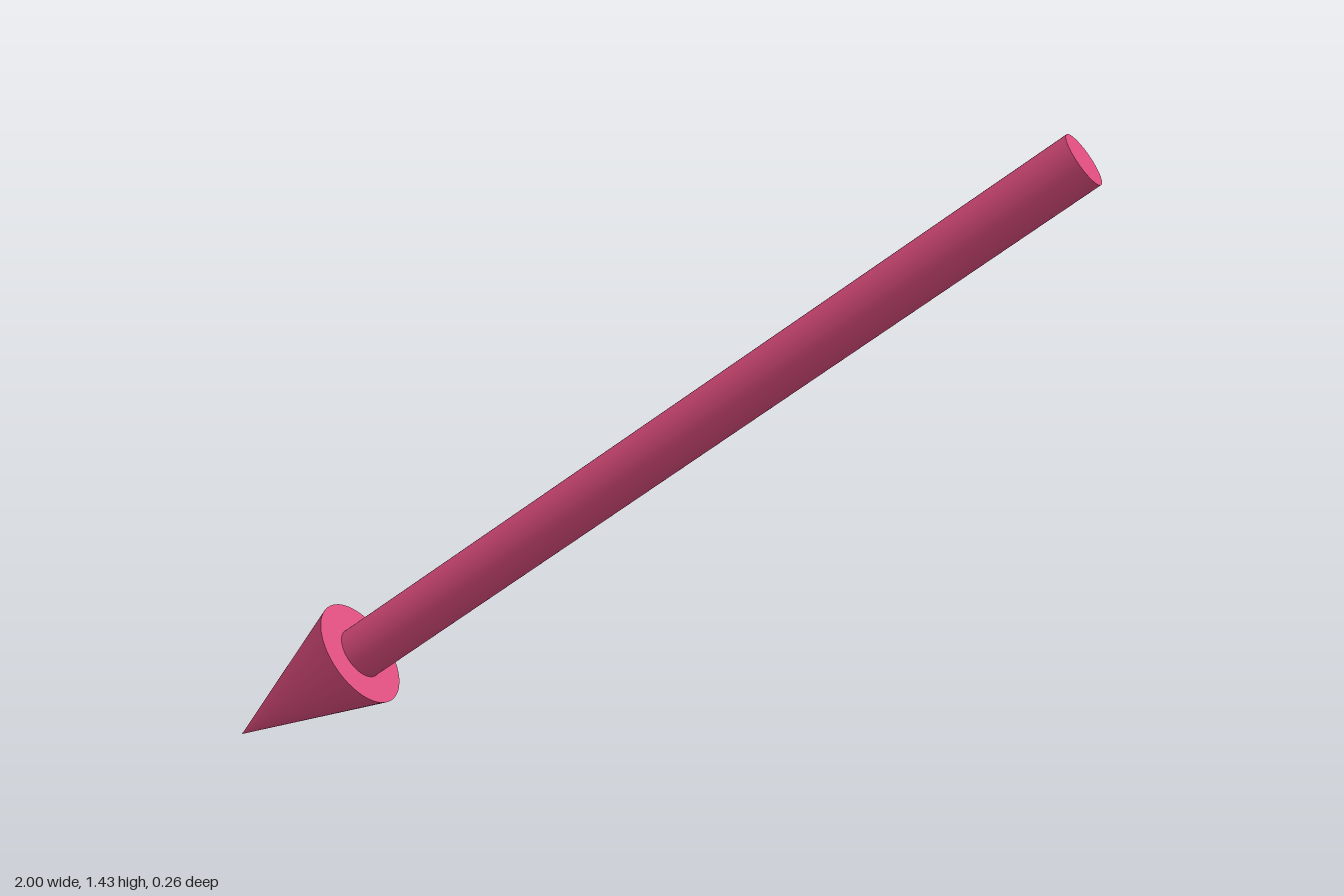
import * as THREE from 'three';

export function createModel() {
  const model = new THREE.Group();
  model.name = 'arrow';
  const material = new THREE.MeshStandardMaterial({ color: 0xdc4c7c });

  // The arrow runs from its tip on the ground up to the centre of its tail
  const tip = new THREE.Vector3(-1, 0, 0);
  const tail = new THREE.Vector3(0.965, 1.377, 0);
  const length = tip.distanceTo(tail);
  const headLength = 0.383;
  const shaftLength = length - headLength;

  const arrow = new THREE.Group();
  arrow.name = 'arrowBody';
  arrow.position.copy(tip);
  arrow.quaternion.setFromUnitVectors(
    new THREE.Vector3(0, 1, 0),
    tail.clone().sub(tip).normalize()
  );
  model.add(arrow);

  const addPart = (name, geometry, y) => {
    const mesh = new THREE.Mesh(geometry, material);
    mesh.name = name;
    mesh.position.y = y;
    arrow.add(mesh);
    return mesh;
  };

  // Round shaft with flat ends
  addPart('shaft', new THREE.CylinderGeometry(0.062, 0.062, shaftLength, 48), headLength + shaftLength / 2);

  // Cone head, pointing down at the tip
  const head = addPart('arrowHead', new THREE.ConeGeometry(0.129, headLength, 48), headLength / 2);
  head.rotation.x = Math.PI;

  return model;
}
